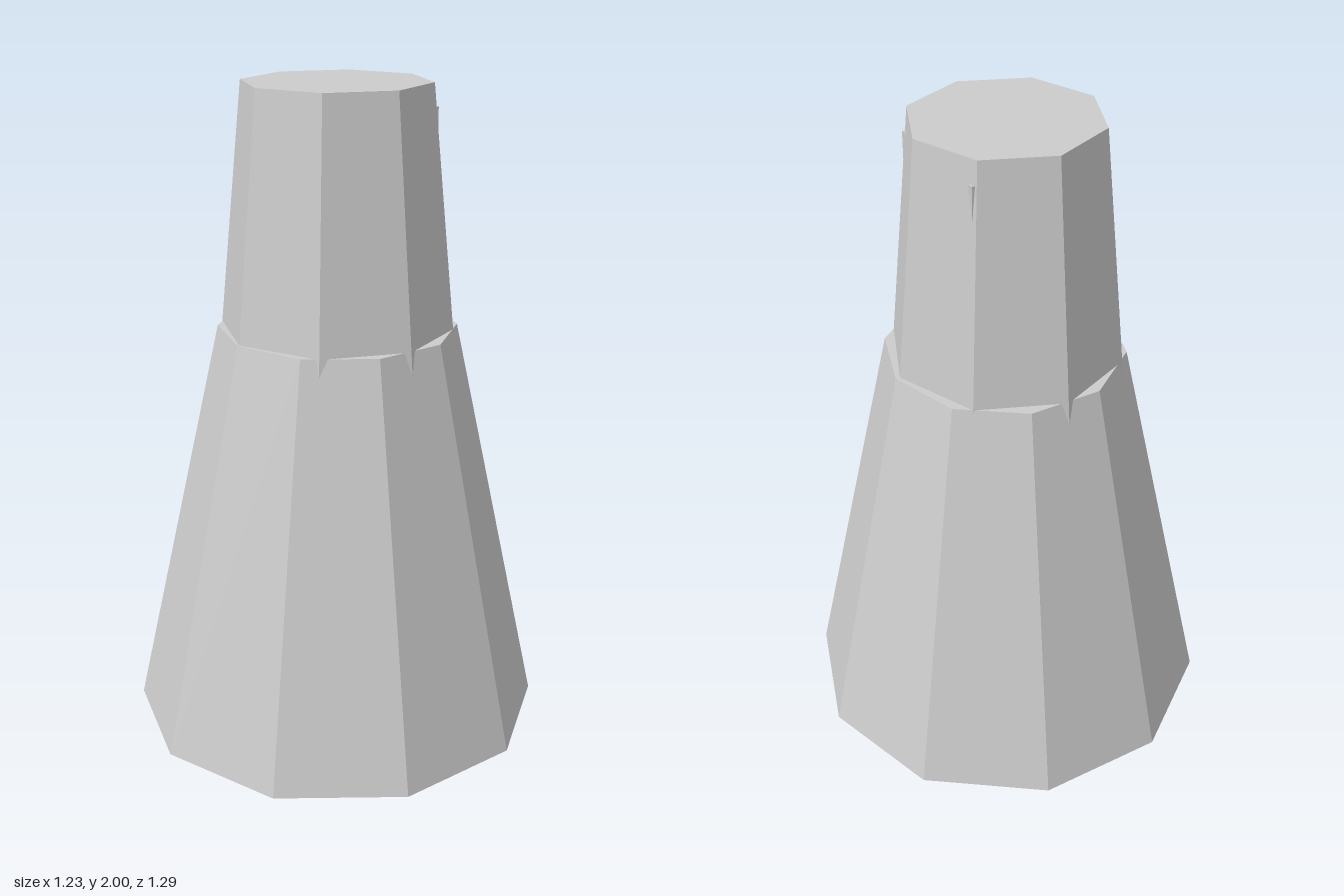
import * as THREE from 'three';

const material = new THREE.MeshStandardMaterial({ color: 0xcccccc, flatShading: true });

function addPart(group, name, geometry, y, z = 0) {
  const mesh = new THREE.Mesh(geometry, material);
  mesh.name = name;
  mesh.position.set(0, y, z);
  group.add(mesh);
}

// Faceted frustum between two heights, with a corner on the z axis
function addFrustum(group, name, topRadius, bottomRadius, y0, y1, sides, topShift = 0) {
  const geometry = new THREE.CylinderGeometry(topRadius, bottomRadius, y1 - y0, sides);
  const pos = geometry.attributes.position;
  for (let i = 0; i < pos.count; i++) {
    if (pos.getY(i) > 0) pos.setZ(i, pos.getZ(i) + topShift);
  }
  geometry.computeVertexNormals();
  addPart(group, name, geometry, (y0 + y1) / 2);
}

export function createModel() {
  const group = new THREE.Group();
  group.name = 'taperedTower';

  // Ten-sided flared base, its top very slightly set back
  addFrustum(group, 'base', 0.365, 0.645, 0, 1.27, 10, -0.004);

  // Eight-sided neck, its foot sunk into the base
  addFrustum(group, 'neck', 0.283, 0.367, 1.15, 2, 8);

  // Block inside the neck whose rear corners just break the surface
  addPart(group, 'innerBlock', new THREE.BoxGeometry(0.4, 0.25, 0.41), 1.805, -0.012);

  return group;
}
